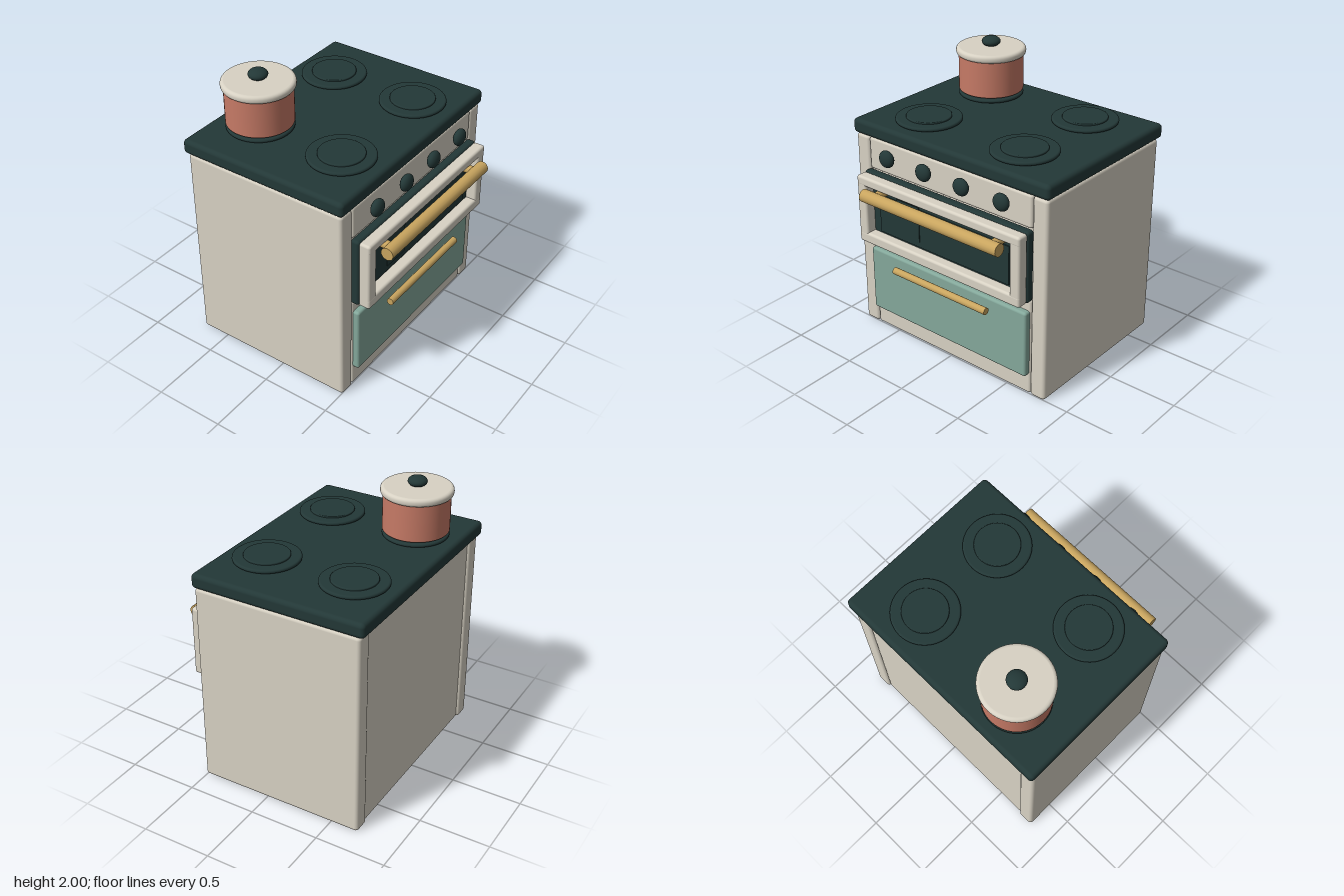
import * as THREE from 'three';
import { RoundedBoxGeometry } from 'three/addons/geometries/RoundedBoxGeometry.js';

export function createModel() {
  const model = new THREE.Group();
  model.name = 'stove';

  const material = (name, color) => {
    const m = new THREE.MeshStandardMaterial({ color });
    m.name = name;
    return m;
  };
  const cream = material('cream enamel', 0xd8d2c4);
  const dark = material('dark enamel', 0x233837);
  const sage = material('sage green', 0x84a89b);
  const brass = material('brass', 0xc9a55f);
  const copper = material('copper', 0xc67a66);

  const add = (name, geometry, mat, x = 0, y = 0, z = 0) => {
    const mesh = new THREE.Mesh(geometry, mat);
    mesh.name = name;
    mesh.position.set(x, y, z);
    model.add(mesh);
    return mesh;
  };

  // Rounded box given by its limits on each axis
  const slab = (name, mat, [x0, x1], [y0, y1], [z0, z1], radius = 0.02) =>
    add(name, new RoundedBoxGeometry(x1 - x0, y1 - y0, z1 - z0, 3, radius), mat,
      (x0 + x1) / 2, (y0 + y1) / 2, (z0 + z1) / 2);

  // Solid of revolution with softly rounded rims
  const disc = (name, mat, radius, y0, y1, bevel, x, z) => {
    const pts = [new THREE.Vector2(0, y0), new THREE.Vector2(radius - bevel - 0.002, y0)];
    for (let i = 0; i <= 8; i++) {
      const a = -Math.PI / 2 + (i / 8) * Math.PI;
      pts.push(new THREE.Vector2(radius - bevel + bevel * Math.cos(a),
        (i <= 4 ? y0 + bevel : y1 - bevel) + bevel * Math.sin(a)));
      if (i === 4) pts.push(new THREE.Vector2(radius, y1 - bevel));
    }
    pts.push(new THREE.Vector2(radius - bevel - 0.002, y1), new THREE.Vector2(0, y1));
    // drop repeated points so normals stay clean
    const clean = pts.filter((p, i) => i === 0 || p.distanceTo(pts[i - 1]) > 1e-4);
    return add(name, new THREE.LatheGeometry(clean, 48), mat, x, 0, z);
  };

  const bar = (name, radius, length, y, z) => {
    const mesh = add(name, new THREE.CylinderGeometry(radius, radius, length, 16), brass, 0, y, z);
    mesh.rotation.z = Math.PI / 2;
    return mesh;
  };

  // Cabinet
  slab('carcass', cream, [-0.71, 0.71], [0.003, 1.475], [-0.69, 0.48]);
  for (const s of [-1, 1]) {
    slab('sidePanel', cream, s < 0 ? [-0.82, -0.7] : [0.7, 0.82], [0, 1.475], [-0.705, 0.51], 0.025);
  }
  slab('controlPanel', cream, [-0.7, 0.7], [1.24, 1.475], [0.4, 0.51]);
  slab('lowerPanel', cream, [-0.7, 0.7], [0.003, 0.727], [0.4, 0.505]);
  slab('worktop', dark, [-0.835, 0.835], [1.475, 1.58], [-0.735, 0.525], 0.03);

  // Burners
  for (const x of [-0.41, 0.41]) {
    for (const z of [-0.43, 0.22]) {
      disc('burnerRing', dark, 0.228, 1.584, 1.61, 0.012, x, z);
      disc('burnerPlate', dark, 0.155, 1.575, 1.622, 0.006, x, z);
    }
  }

  // Control knobs
  for (const x of [-0.495, -0.165, 0.16, 0.49]) {
    add('controlKnob', new THREE.SphereGeometry(0.061, 32, 20), dark, x, 1.38, 0.553)
      .scale.set(1, 1, 0.6);
  }

  // Oven door: dark backing, cream frame, window
  slab('doorBacking', dark, [-0.71, 0.71], [0.728, 1.24], [0.495, 0.56]);
  slab('doorTopRail', cream, [-0.705, 0.705], [1.165, 1.235], [0.555, 0.64], 0.018);
  slab('doorBottomRail', cream, [-0.705, 0.705], [0.732, 0.812], [0.555, 0.64], 0.018);
  for (const x of [-0.664, 0.664]) {
    slab('doorStile', cream, [x - 0.041, x + 0.041], [0.734, 1.233], [0.555, 0.639], 0.018);
  }
  add('ovenWindow', new THREE.BoxGeometry(1.13, 0.28, 0.008), dark, 0, 0.96, 0.564);
  add('windowPane', new THREE.BoxGeometry(0.2, 0.26, 0.006), dark, -0.3, 0.99, 0.571);

  // Oven handle on two posts
  bar('ovenHandle', 0.045, 1.18, 1.135, 0.69);
  for (const x of [-0.51, 0.51]) {
    add('handlePost', new THREE.CylinderGeometry(0.03, 0.03, 0.13, 16), brass, x, 1.137, 0.62)
      .rotation.x = Math.PI / 2;
  }

  // Storage drawer
  slab('drawerFront', sage, [-0.69, 0.69], [0.155, 0.645], [0.49, 0.55], 0.018);
  bar('drawerHandle', 0.025, 0.82, 0.58, 0.607);

  // Saucepan with lid
  disc('panBody', copper, 0.228, 1.62, 1.885, 0.012, -0.41, -0.43);
  disc('panLid', cream, 0.245, 1.877, 1.932, 0.022, -0.41, -0.43);
  add('lidKnob', new THREE.SphereGeometry(0.066, 32, 20), dark, -0.41, 1.964, -0.43)
    .scale.set(1, 0.55, 1);

  return model;
}
